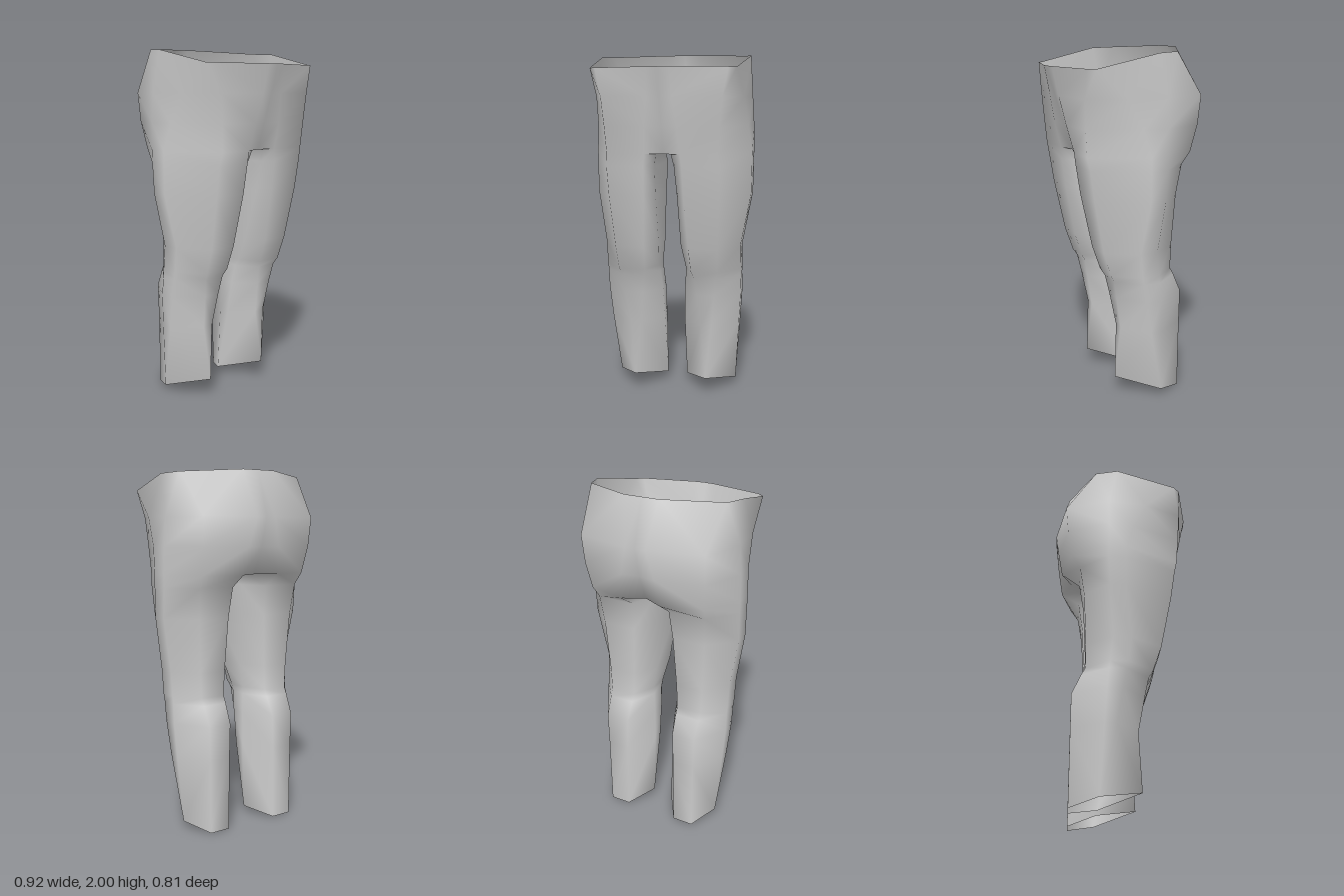
import * as THREE from 'three';
import { mergeVertices } from 'three/addons/utils/BufferGeometryUtils.js';

// A ring of [x, z] points at one height; a third value overrides the height.
const ring = (y, pts) => pts.map(([x, z, own = y]) => [x, own, z]);

// A leg ring by rule: narrow front and back edges joined by two sides.
const legRing = (y, inner, outer, front, frontHalf, back, sideFront, sideBack, innerFront = sideFront) => {
  const backHalf = 0.06 + 0.025 * y * y;
  return ring(y, [
    [0.213 - frontHalf, front], [0.213 + frontHalf, front],
    [outer, sideFront], [outer, sideBack],
    [0.22 + backHalf, back], [0.22 - backHalf, back],
    [inner, sideBack], [inner, innerFront],
  ]);
};

// Half rings of the hips: centre front, round the left side, to centre back.
const waist = ring(1.905, [[0, 0.405], [0.06, 0.4], [0.365, 0.325], [0.405, 0.29],
  [0.44, -0.05, 1.98], [0.4, -0.175, 1.985], [0.1, -0.33, 2], [0, -0.33, 2]]);
const seat = ring(1.75, [[0, 0.362], [0.07, 0.368], [0.335, 0.325], [0.425, 0.12],
  [0.448, -0.1], [0.367, -0.345], [0.06, -0.405], [0, -0.405]]);
const lowerSeat = ring(1.59, [[0, 0.31], [0.09, 0.335], [0.32, 0.316], [0.442, 0.04],
  [0.458, -0.1], [0.36, -0.33], [0.1, -0.385], [0, -0.365]]);

// Top of the leg, and the centre line under the crotch from front to back.
const legTop = ring(1.44, [[0.1, 0.295], [0.31, 0.305], [0.46, 0], [0.46, -0.1],
  [0.34, -0.3], [0.12, -0.36], [0.072, -0.1], [0.042, 0.26]]);
const crotch = [0.265, 0.24, -0.1, -0.3].map((z) => [0, 1.44, z]);

// The hem slopes down towards the heel.
const hem = legRing(0.1, 0.06, 0.365, 0.1, 0, -0.285, -0.13, -0.13)
  .map(([x, , z]) => [x, 0.1 + (z - 0.1) * 0.1 / 0.385, z]);

const leg = [
  legTop,
  legRing(1.37, 0.055, 0.46, 0.29, 0.105, -0.255, 0, -0.1, 0.24),
  legRing(1.2, 0.062, 0.458, 0.265, 0.1, -0.228, 0, -0.09, 0.19),
  legRing(0.9, 0.066, 0.404, 0.205, 0.083, -0.213, 0.03, -0.07, 0.1),
  legRing(0.76, 0.082, 0.403, 0.158, 0.077, -0.213, 0.015, -0.085, 0.03),
  legRing(0.72, 0.078, 0.402, 0.134, 0.065, -0.235, 0.005, -0.09),
  legRing(0.61, 0.067, 0.404, 0.112, 0.05, -0.285, -0.015, -0.1),
  legRing(0.42, 0.062, 0.392, 0.078, 0.032, -0.285, -0.045, -0.11),
  hem,
];

export function createModel() {
  const positions = [];

  // Adds a triangle and its mirror image.
  const tri = (a, b, c) => {
    positions.push(...a, ...b, ...c);
    for (const [x, y, z] of [a, c, b]) positions.push(x === 0 ? 0 : -x, y, z);
  };
  // Joins two rows of points with quads.
  const strip = (upper, lower, closed = false) => {
    const n = upper.length;
    for (let i = 0; i < (closed ? n : n - 1); i++) {
      const j = (i + 1) % n;
      tri(upper[i], lower[i], upper[j]);
      tri(upper[j], lower[i], lower[j]);
    }
  };

  // Hips, down to where the legs divide
  const hips = [waist, seat, lowerSeat, [crotch[0], ...legTop.slice(0, 6), crotch[3]]];
  for (let i = 0; i < hips.length - 1; i++) strip(hips[i], hips[i + 1]);

  // Crotch panel between the legs
  strip([legTop[0], legTop[7], legTop[6], legTop[5]], crotch);

  // Legs, open at the hem
  for (let i = 0; i < leg.length - 1; i++) strip(leg[i], leg[i + 1], true);

  let geometry = new THREE.BufferGeometry();
  geometry.setAttribute('position', new THREE.Float32BufferAttribute(positions, 3));
  geometry = mergeVertices(geometry, 1e-4);
  geometry.computeVertexNormals();

  const cloth = new THREE.MeshStandardMaterial({ color: 0xcccccc, side: THREE.DoubleSide });
  cloth.name = 'grey cloth';
  const trousers = new THREE.Mesh(geometry, cloth);
  trousers.name = 'trousers';

  const group = new THREE.Group();
  group.name = 'trousersModel';
  group.add(trousers);
  return group;
}
